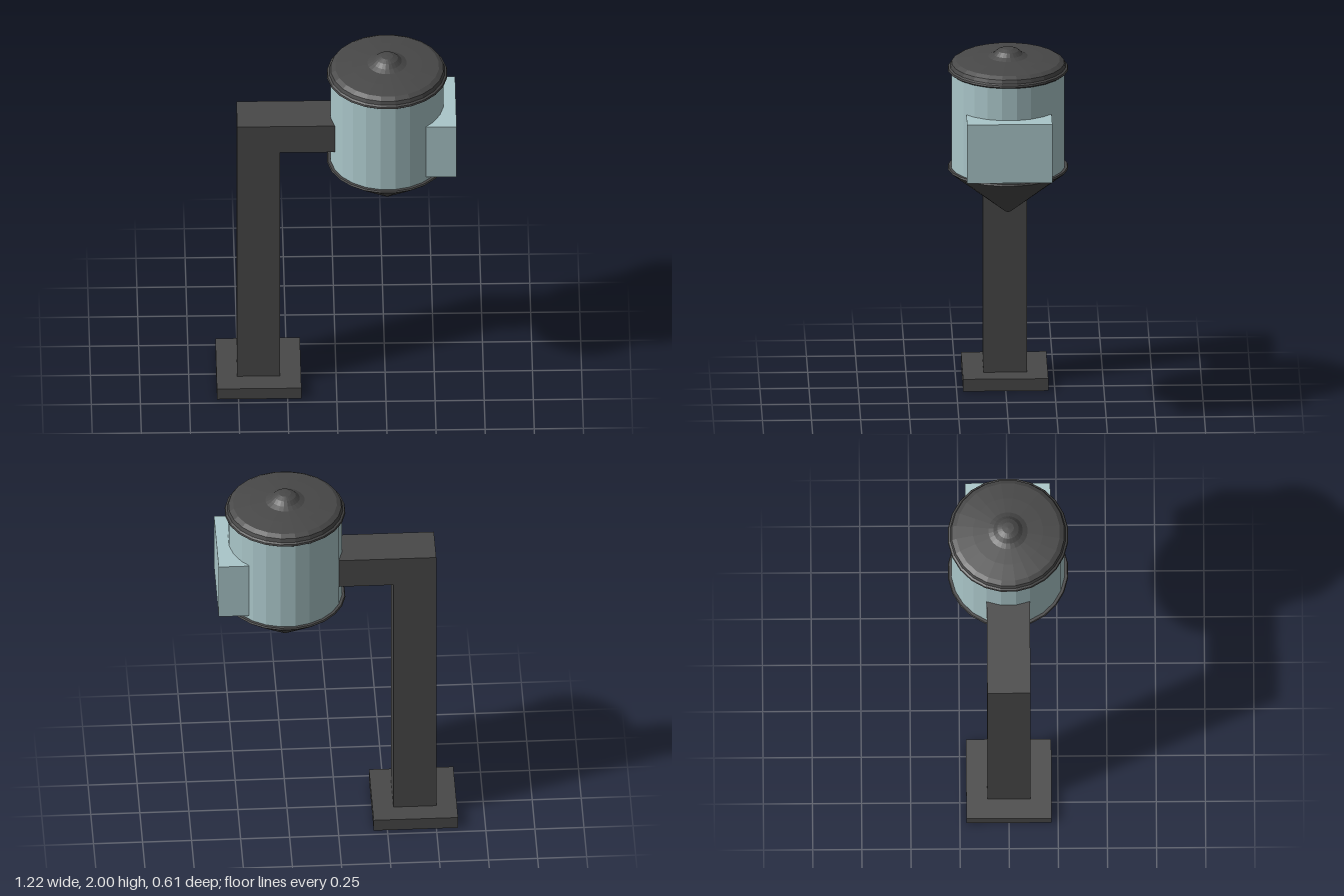
import * as THREE from 'three';

const SIDES = 24;
const DRUM_X = 0.26;

const material = (color) => new THREE.MeshStandardMaterial({ color, flatShading: true });

export function createModel() {
  const group = new THREE.Group();
  const dark = material(0x484848);
  const pale = material(0xaac6c9);
  const red = material(0xb02020);

  const add = (name, geometry, mat) => {
    const mesh = new THREE.Mesh(geometry, mat);
    mesh.name = name;
    group.add(mesh);
    return mesh;
  };

  // Box given by its x and y extents and its half depth
  const box = (name, x0, x1, y0, y1, halfZ, mat) =>
    add(name, new THREE.BoxGeometry(x1 - x0, y1 - y0, halfZ * 2), mat)
      .position.set((x0 + x1) / 2, (y0 + y1) / 2, 0);

  // Turned part around the drum axis, profile listed from bottom to top
  const turned = (name, profile, mat) => {
    const points = profile.map(([r, y]) => new THREE.Vector2(r, y));
    add(name, new THREE.LatheGeometry(points, SIDES, Math.PI / SIDES), mat).position.x = DRUM_X;
  };

  // Foot plate
  box('basePlate', -0.61, -0.18, 0, 0.065, 0.217, dark);

  // Post and arm in one bent beam
  const beam = new THREE.Shape([
    [-0.505, 0.065], [-0.287, 0.065], [-0.287, 1.475], [0.02, 1.475], [0.02, 1.64], [-0.505, 1.64],
  ].map(([x, y]) => new THREE.Vector2(x, y)));
  add('postAndArm', new THREE.ExtrudeGeometry(beam, { depth: 0.22, bevelEnabled: false }), dark)
    .position.z = -0.11;

  // Drum wall
  turned('drum', [[0.29, 1.36], [0.29, 1.89]], pale);

  // Domed lid with rolled rim and knob
  turned('lid', [
    [0, 1.88], [0.298, 1.88], [0.308, 1.888], [0.305, 1.897], [0.295, 1.903], [0.288, 1.922],
    [0.265, 1.936], [0.18, 1.948], [0.1, 1.956], [0.075, 1.968], [0.055, 1.987], [0.03, 1.998], [0, 2],
  ], dark);

  // Funnel under the drum
  turned('funnel', [[0, 1.121], [0.015, 1.121], [0.3, 1.35], [0.308, 1.358], [0.304, 1.366], [0, 1.366]], dark);

  // Small red tip of the funnel
  turned('funnelTip', [[0, 1.12], [0.009, 1.12], [0.009, 1.123]], red);

  // Box on the side of the drum
  box('sideBox', 0.455, 0.61, 1.39, 1.705, 0.217, pale);

  return group;
}
